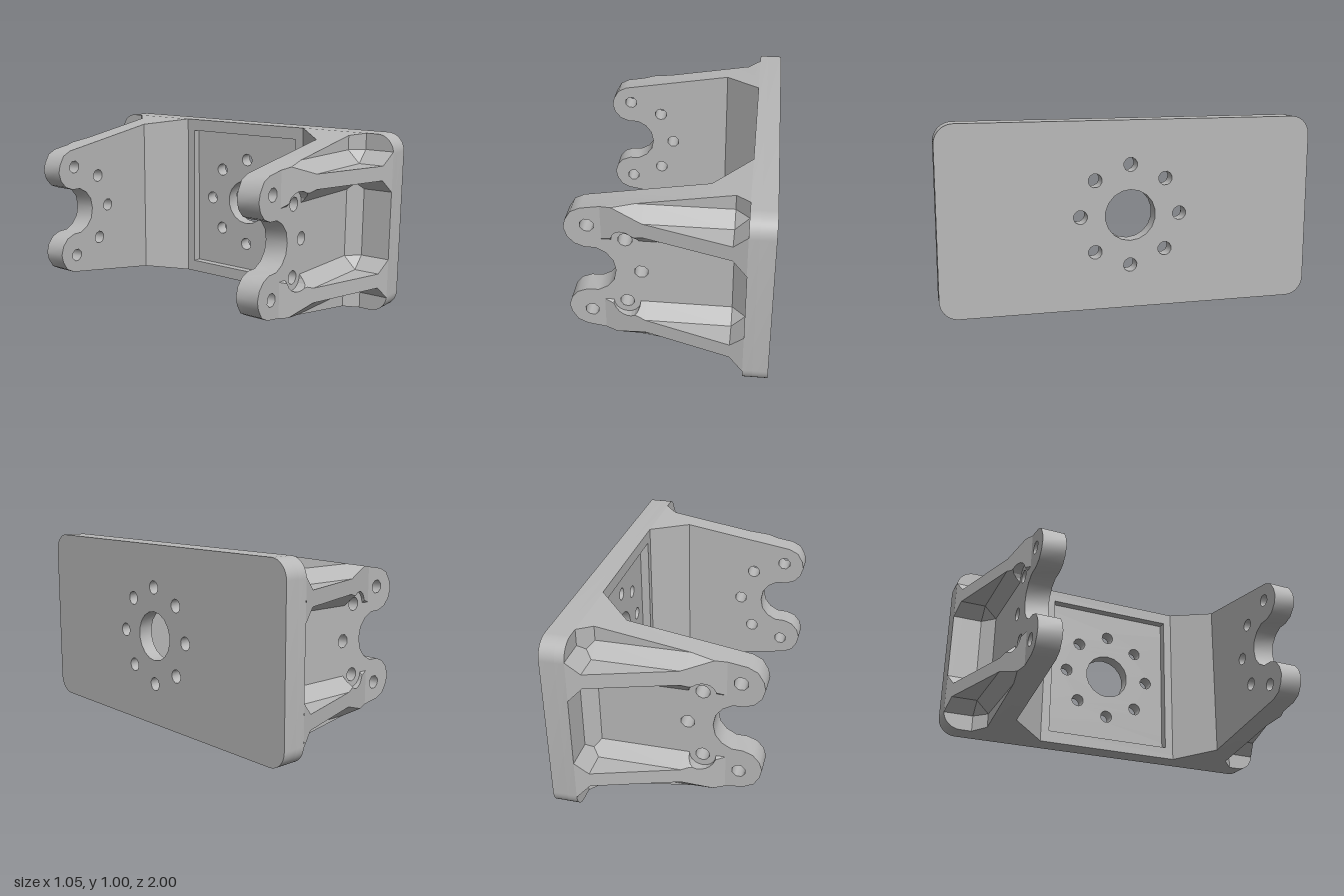
import * as THREE from 'three';
import { toCreasedNormals } from 'three/addons/utils/BufferGeometryUtils.js';

const FLOOR = 0.765;   // outer face of an arm (z)
const INNER = 0.635;   // inner face of an arm (z)
const BACK = 0.395;    // inner face of the mounting plate (x)
const FILLET = 0.07;   // 45 degree chamfer in the inside corners

// Top edge of an arm, sloping up towards the plate
const topEdge = (x) => 0.865 + (x + 0.44) * 0.135 / 0.835;

function hole(x, y, r, n) {
  const pts = [];
  for (let i = 0; i < n; i++) {
    const a = -2 * Math.PI * (i + 0.5) / n;
    pts.push(new THREE.Vector2(x + r * Math.cos(a), y + r * Math.sin(a)));
  }
  return new THREE.Path(pts);
}

function extrude(shape, depth, z) {
  const g = new THREE.ExtrudeGeometry(shape, { depth, bevelEnabled: false, curveSegments: 8 });
  g.translate(0, 0, z);
  return toCreasedNormals(g, 0.8);
}

// Skin between (y, z) rings placed along x, flat shaded
function loft(stations, ringAt) {
  const rings = stations.map((x) => ringAt(x).map(([y, z]) => [x, y, z]));
  const pos = [];
  for (let i = 0; i < rings.length - 1; i++) {
    const n = rings[i].length;
    for (let j = 0; j < n; j++) {
      const k = (j + 1) % n;
      const a = rings[i][j], b = rings[i][k], c = rings[i + 1][k], d = rings[i + 1][j];
      pos.push(...a, ...b, ...c, ...a, ...c, ...d);
    }
  }
  const g = new THREE.BufferGeometry();
  g.setAttribute('position', new THREE.Float32BufferAttribute(pos, 3));
  g.computeVertexNormals();
  return g;
}

// Rounded plate outline, drawn across (z, y)
function plateShape() {
  const s = new THREE.Shape(), r = 0.1;
  s.moveTo(-1 + r, 0);
  s.lineTo(1 - r, 0);
  s.absarc(1 - r, r, r, -Math.PI / 2, 0, false);
  s.absarc(1 - r, 1 - r, r, 0, Math.PI / 2, false);
  s.absarc(-1 + r, 1 - r, r, Math.PI / 2, Math.PI, false);
  s.absarc(-1 + r, r, r, Math.PI, Math.PI * 1.5, false);
  return s;
}

// Forked arm outline with its bolt holes
function armShape() {
  const half = [[BACK, 1], [-0.44, 0.865], [-0.49, 0.84], [-0.52, 0.79], [-0.53, 0.745],
    [-0.515, 0.695], [-0.48, 0.655], [-0.43, 0.635], [-0.37, 0.633], [-0.32, 0.605],
    [-0.285, 0.56]];
  const lower = half.map(([x, y]) => [x, 1 - y]).reverse();
  const pts = [...half, [-0.273, 0.5], ...lower];
  const s = new THREE.Shape(pts.map(([x, y]) => new THREE.Vector2(x, y)));
  s.holes.push(hole(-0.142, 0.5, 0.037, 8));
  for (const m of [1, -1]) {
    s.holes.push(hole(-0.41, 0.5 + m * 0.267, 0.037, 8));
    s.holes.push(hole(-0.22, 0.5 + m * 0.192, 0.037, 10));
  }
  return s;
}

// Wedge rib section: chamfered foot, thin web, relieved around the bolt hole
function ribRing(x) {
  const h = Math.max(0, (x + 0.34) * 0.32);
  const m = Math.min(h, FILLET);
  const hw = 0.04 + Math.max(0, x - 0.325);
  const lo = 0.69, hi = 0.91;
  const dx = x + 0.22;
  const relief = Math.abs(dx) < 0.07 ? 0.692 + Math.sqrt(0.0049 - dx * dx) : 0;
  const a = Math.max(lo, relief);
  const b = Math.max(a, Math.min(lo + m, 0.8 - hw));
  const t = Math.min(hi, topEdge(x));
  const u = Math.min(t, Math.max(hi - m, 0.8 + hw));
  const outer = [[t, -0.005], [t, Math.min(h, hi - t)], [u, m], [u, h]];
  const inner = [[b, h], [b, m], [a, Math.min(h, a - lo)], [a, -0.005]];
  return [...outer, ...inner].map(([y, z]) => [y, FLOOR + z]);
}

export function createModel() {
  const grey = new THREE.MeshStandardMaterial({ color: 0xb8b8b8 });
  grey.name = 'plain grey';
  const model = new THREE.Group();
  model.name = 'mountingBracket';
  const add = (parent, geometry, name) => {
    const mesh = new THREE.Mesh(geometry, grey);
    mesh.name = name;
    parent.add(mesh);
  };

  // Mounting plate: drilled slab, and a frame around the shallow inner pocket
  const slab = plateShape();
  slab.holes.push(hole(0, 0.5, 0.136, 18));
  for (let i = 0; i < 8; i++) {
    const a = i * Math.PI / 4;
    slab.holes.push(hole(0.268 * Math.cos(a), 0.5 + 0.268 * Math.sin(a), 0.037, 12));
  }
  add(model, extrude(slab, 0.08, 0.445).rotateY(Math.PI / 2), 'mountingPlate');

  const frame = plateShape();
  frame.holes.push(new THREE.Path([[-0.38, 0.07], [-0.38, 0.93], [0.38, 0.93], [0.38, 0.07]]
    .map(([x, y]) => new THREE.Vector2(x, y))));
  add(model, extrude(frame, 0.05, BACK).rotateY(Math.PI / 2), 'pocketFrame');

  // Stations along a rib, finer around the bolt hole relief
  const stations = [-0.34];
  for (let i = 0; i <= 10; i++) stations.push(-0.22 - 0.07 * Math.cos(i * Math.PI / 10));
  stations.push(-0.121, 0.325, BACK);

  // Two arms; the second is the first turned half round the x axis
  for (const name of ['frontArm', 'backArm']) {
    const arm = new THREE.Group();
    arm.name = name;
    add(arm, extrude(armShape(), FLOOR - INNER, INNER), 'forkedArm');

    // Chamfers joining the arm to the plate, inside and outside
    add(arm, loft([0.2, 0.325, BACK], (x) => {
      const y = topEdge(x), zi = INNER - (x - 0.2) * 1.05;
      const zo = FLOOR + Math.max(0, x - 0.325);
      return [[1 - y, zi], [y, zi], [y, zo], [1 - y, zo]];
    }), 'armRoot');

    add(arm, loft(stations, ribRing), 'upperRib');
    add(arm, loft(stations, (x) => ribRing(x).map(([y, z]) => [1 - y, z]).reverse()), 'lowerRib');

    if (name === 'backArm') {
      arm.rotation.x = Math.PI;
      arm.position.y = 1;
    }
    model.add(arm);
  }
  return model;
}
